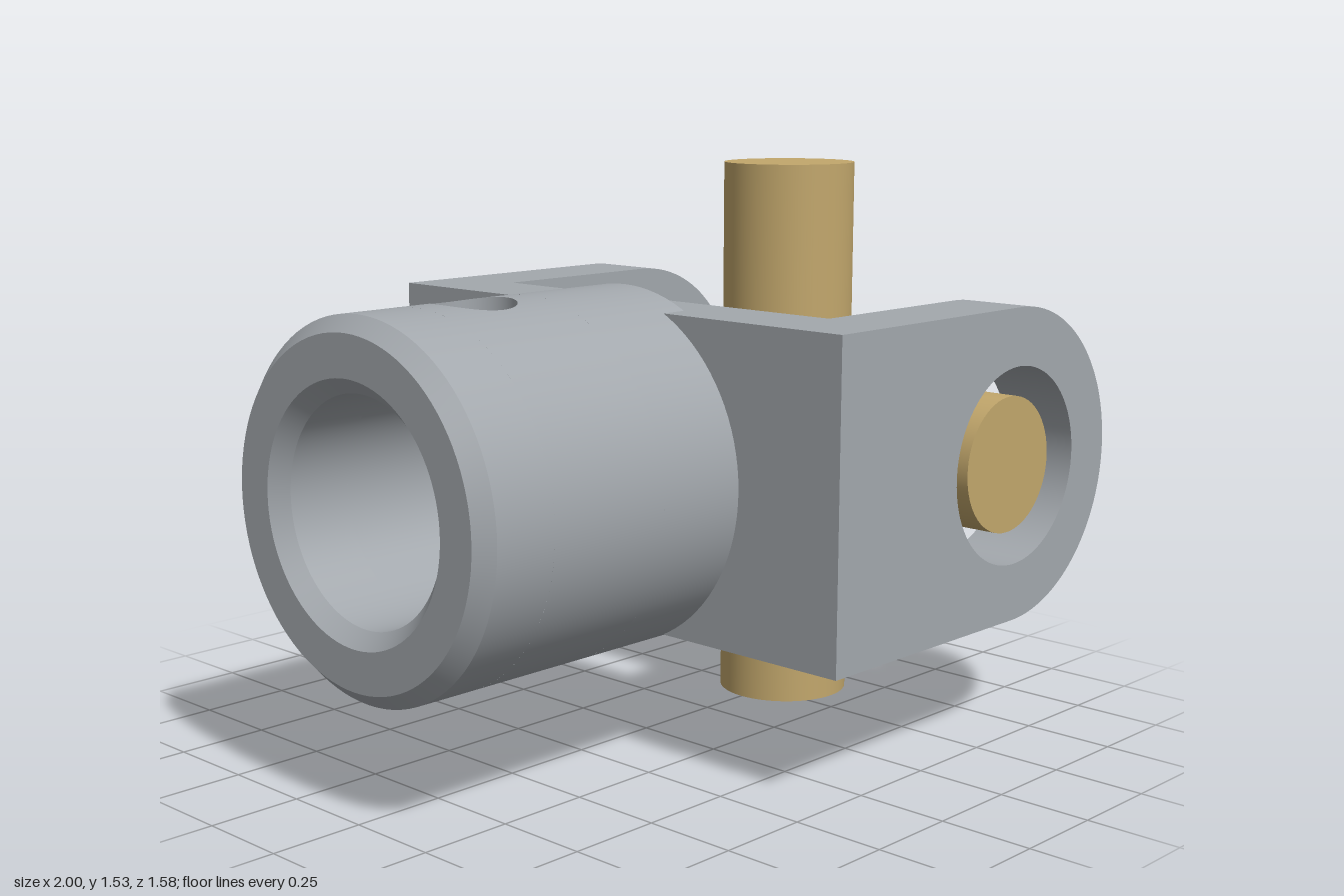
import * as THREE from 'three';
import { toCreasedNormals } from 'three/addons/utils/BufferGeometryUtils.js';
import { ParametricGeometry } from 'three/addons/geometries/ParametricGeometry.js';

const CY = 0.765;          // height of the shaft axis
const PIN_X = 0.58;        // x of the cross centre
const TAU = Math.PI * 2;

export function createModel() {
  const steel = new THREE.MeshStandardMaterial({ color: 0xa3a8ad, side: THREE.DoubleSide });
  steel.name = 'steel';
  const brass = new THREE.MeshStandardMaterial({ color: 0xc2a76c });
  brass.name = 'brass';

  const model = new THREE.Group();
  model.name = 'universalJoint';
  const group = (name) => {
    const g = new THREE.Group();
    g.name = name;
    model.add(g);
    return g;
  };
  const add = (parent, name, geometry, material, x = 0, y = 0, z = 0) => {
    const mesh = new THREE.Mesh(geometry, material);
    mesh.name = name;
    mesh.position.set(x, y, z);
    parent.add(mesh);
    return mesh;
  };

  // ---- Hub: tube along x with a screw hole through the top wall ----
  const hub = group('hub');
  const R = 0.472, BORE = 0.285, CH = 0.04;
  const HOLE_X = -0.605, HOLE_R = 0.107;
  const PATCH_A = 0.5, PATCH_H = 0.18;   // half angle and half length of the wall around the hole

  // Point on a cylinder around the shaft axis; angle 0 is straight up
  const onWall = (target, r, angle, x) =>
    target.set(x, CY + r * Math.cos(angle), r * Math.sin(angle));

  // Turned surface from (x0, r0) to (x1, r1)
  const ring = (name, x0, r0, x1, r1, start = 0, length = TAU) =>
    add(hub, name, new ParametricGeometry((u, v, p) => onWall(
      p, r0 + (r1 - r0) * v, start + u * length, x0 + (x1 - x0) * v), 96, 1), steel);

  // Wall around the hole, blending from the hole's rim to a rectangle
  const patch = (name, r, dir) =>
    add(hub, name, new ParametricGeometry((u, v, p) => {
      const c = Math.cos(dir * u * TAU), s = Math.sin(dir * u * TAU);
      const m = Math.max(Math.abs(c), Math.abs(s));
      const a = THREE.MathUtils.lerp(Math.asin(HOLE_R * c / r), PATCH_A * c / m, v);
      const x = HOLE_X + THREE.MathUtils.lerp(HOLE_R * s, PATCH_H * s / m, v);
      onWall(p, r, a, x);
    }, 64, 8), steel);

  // Full wall: two complete bands, a partial band and the patch
  const wall = (name, r, x0, x1) => {
    const dir = Math.sign(x1 - x0);
    const xa = HOLE_X - dir * PATCH_H, xb = HOLE_X + dir * PATCH_H;
    ring(name + 'Start', x0, r, xa, r);
    ring(name + 'Middle', xa, r, xb, r, PATCH_A, TAU - 2 * PATCH_A);
    ring(name + 'End', xb, r, x1, r);
    patch(name + 'HoleSurround', r, -dir);
  };

  wall('boreWall', BORE, -0.16, -1 + CH);
  ring('boreChamfer', -1 + CH, BORE, -1, BORE + CH);
  ring('hubEndFace', -1, BORE + CH, -1, R - CH);
  ring('hubChamfer', -1, R - CH, -1 + CH, R);
  wall('hubWall', R, -1 + CH, -0.085);
  ring('hubInnerFace', -0.085, R, -0.085, 0.001);

  add(hub, 'screwHole', new ParametricGeometry((u, v, p) => {
    const z = HOLE_R * Math.cos(u * TAU), x = HOLE_X + HOLE_R * Math.sin(u * TAU);
    const r = (q) => Math.sqrt(q * q - z * z);
    p.set(x, CY + THREE.MathUtils.lerp(r(R), r(BORE), v), z);
  }, 64, 1), steel);

  // ---- Yoke: web plus two round-ended arms with bearing holes ----
  const yoke = group('yoke');
  const HALF = 0.42, BACK = -0.16, INNER = 0.58, THICK = 0.21;
  add(yoke, 'web', new THREE.BoxGeometry(0.21, HALF * 2, INNER * 2), steel, BACK + 0.105, CY, 0);

  const outline = new THREE.Shape();
  outline.moveTo(BACK, -HALF);
  outline.lineTo(PIN_X, -HALF);
  outline.absarc(PIN_X, 0, HALF, -Math.PI / 2, Math.PI / 2, false);
  outline.lineTo(BACK, HALF);
  outline.closePath();
  const hole = new THREE.Path();
  hole.absarc(PIN_X, 0, 0.265, 0, TAU, true);
  outline.holes.push(hole);
  const armGeometry = toCreasedNormals(new THREE.ExtrudeGeometry(outline, {
    depth: THICK, bevelEnabled: false, curveSegments: 48,
  }), 0.5);
  add(yoke, 'frontArm', armGeometry, steel, 0, CY, INNER);
  add(yoke, 'backArm', armGeometry, steel, 0, CY, -INNER - THICK);

  // ---- Cross: centre block, two through pins and a small nipple ----
  const cross = group('cross');
  cross.position.set(PIN_X, CY, 0);
  add(cross, 'centreBlock', new THREE.BoxGeometry(0.526, 0.53, 0.524), brass);
  const pin = new THREE.CylinderGeometry(0.183, 0.183, CY * 2, 64);
  add(cross, 'uprightPin', pin, brass);
  add(cross, 'crossPin', pin, brass).rotation.x = Math.PI / 2;
  add(cross, 'nipple', new THREE.CylinderGeometry(0.09, 0.09, 0.165, 40), brass, 0.2825)
    .rotation.z = -Math.PI / 2;

  return model;
}
